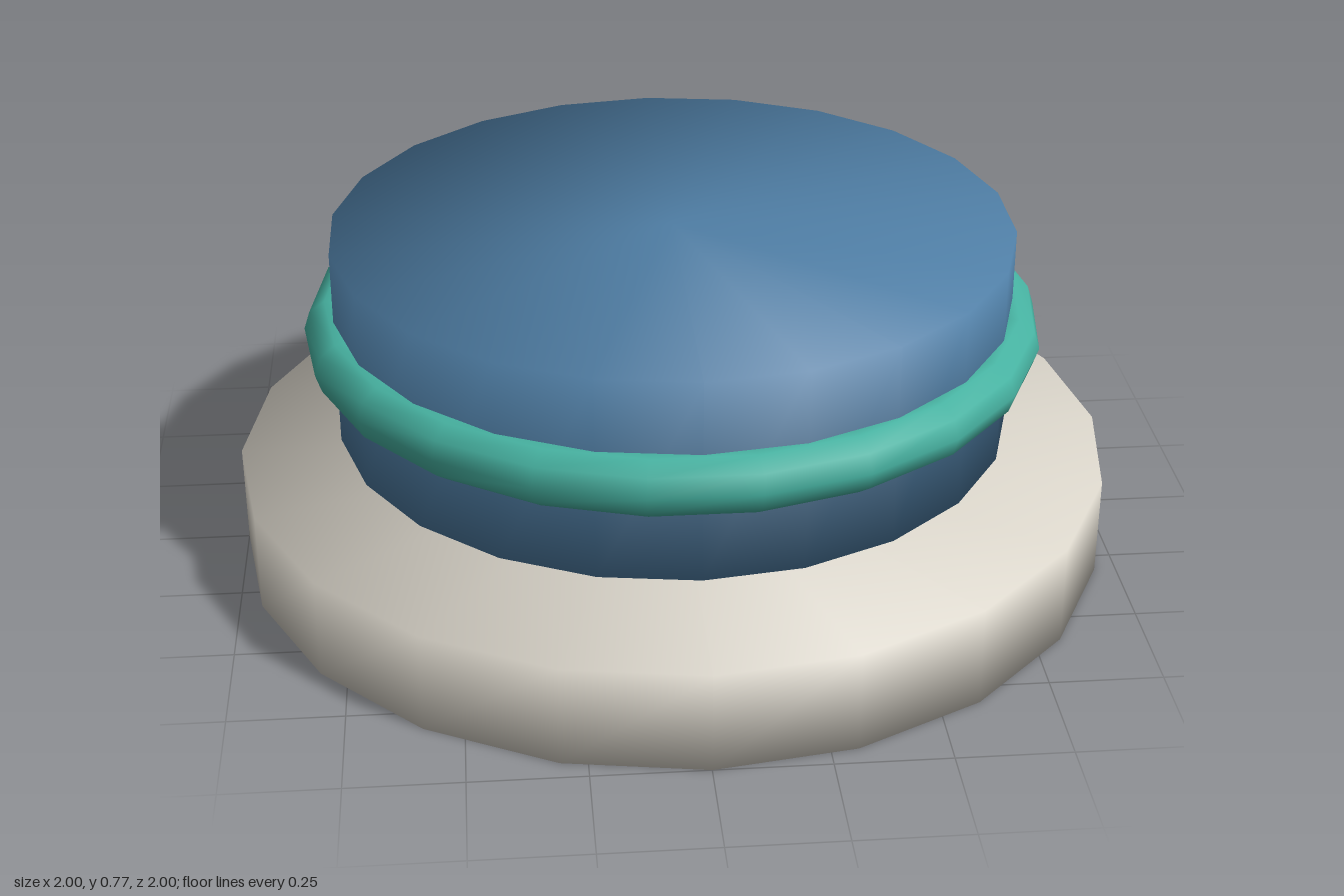
import * as THREE from 'three';

const material = (name, color) => Object.assign(new THREE.MeshStandardMaterial({ color }), { name });

// Closed disc whose shading rolls softly over its rims
function softDisc(name, radius, bottom, top, sides, mat) {
  const height = top - bottom;
  const geometry = new THREE.CylinderGeometry(radius, radius, height, sides);
  const p = geometry.attributes.position;
  for (let i = 0; i < p.count; i++) {
    geometry.attributes.normal.setXYZ(i, p.getX(i) / radius, Math.sign(p.getY(i)) * 0.9, p.getZ(i) / radius);
  }
  const mesh = new THREE.Mesh(geometry, mat);
  mesh.name = name;
  mesh.position.y = (bottom + top) / 2;
  return mesh;
}

export function createModel() {
  const model = new THREE.Group();
  model.name = 'buttonOnBase';

  // Wide base plate and the puck hovering just above it
  model.add(softDisc('basePlate', 1, 0, 0.23, 20, material('warmStone', 0xd9d4c9)));
  model.add(softDisc('puck', 0.77, 0.31, 0.77, 22, material('steelBlue', 0x4f7ea5)));

  // Ring around the puck's waist
  const ring = new THREE.Mesh(new THREE.TorusGeometry(0.765, 0.07, 10, 22), material('teal', 0x47b3a2));
  ring.name = 'waistRing';
  ring.rotation.x = Math.PI / 2;
  ring.position.y = 0.54;
  model.add(ring);

  return model;
}
